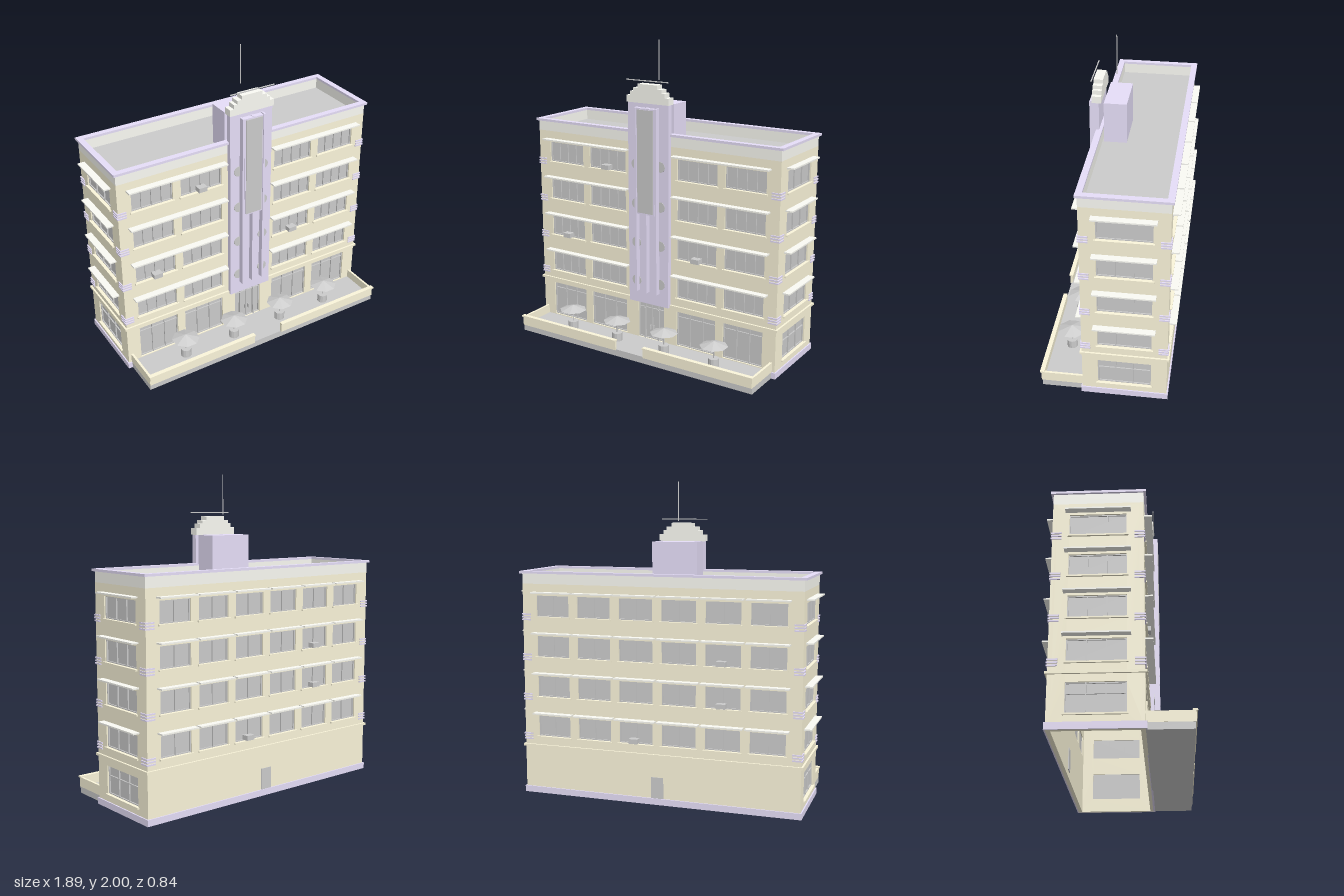
import * as THREE from 'three';

const mat = (color, side = THREE.FrontSide) => new THREE.MeshStandardMaterial({ color, side, flatShading: true });
const CREAM = mat(0xfbf5da), LILAC = mat(0xe6def8), PALE = mat(0xfbfbf4);
const GREY = mat(0xcccccc), GLASS = mat(0xcccccc, THREE.DoubleSide);

const FLOORS = [0.378, 0.637, 0.895, 1.153]; // window bottoms of the upper floors
const WIN_H = 0.133, WALL_T = 0.025, WALL_TOP = 1.36;
const X = 0.9, Z0 = -0.375, Z1 = 0.145, ZC = (Z0 + Z1) / 2, DEPTH = Z1 - Z0;

function add(parent, name, geometry, material, x = 0, y = 0, z = 0) {
  const m = new THREE.Mesh(geometry, material);
  m.name = name;
  m.position.set(x, y, z);
  parent.add(m);
  return m;
}

// Box given by its extents
function box(parent, name, material, x0, x1, y0, y1, z0, z1) {
  return add(parent, name, new THREE.BoxGeometry(x1 - x0, y1 - y0, z1 - z0), material,
    (x0 + x1) / 2, (y0 + y1) / 2, (z0 + z1) / 2);
}

function rect(Type, x0, x1, y0, y1) {
  const p = new Type();
  p.moveTo(x0, y0);
  p.lineTo(x1, y0);
  p.lineTo(x1, y1);
  p.lineTo(x0, y1);
  p.closePath();
  return p;
}

// Recessed glass with thin bars; cols = number of panes, transom = height of cross bar
function glazing(parent, o) {
  const { x0, x1, y0, y1, cols = 2, transom } = o;
  add(parent, 'glass', new THREE.PlaneGeometry(x1 - x0, y1 - y0), GLASS, (x0 + x1) / 2, (y0 + y1) / 2, -0.018);
  const t = 0.003;
  for (let i = 0; i <= cols; i++) {
    const x = x0 + t + (x1 - x0 - 2 * t) * i / cols;
    box(parent, 'mullion', GREY, x - t, x + t, y0, y1, -0.018, -0.009);
  }
  const bars = [y0 + t, y1 - t];
  if (transom) bars.push(transom);
  for (const y of bars) box(parent, 'windowRail', GREY, x0, x1, y - t, y + t, -0.018, -0.01);
}

// Wall in its own frame (outer face at z = 0) with openings, sills and glazing
function facade(parent, name, width, openings) {
  const g = new THREE.Group();
  g.name = name;
  parent.add(g);
  const shape = rect(THREE.Shape, -width / 2, width / 2, 0, WALL_TOP);
  for (const o of openings) {
    shape.holes.push(rect(THREE.Path, o.x0, o.x1, o.y0, o.y1));
    glazing(g, o);
    if (o.sill) box(g, 'sill', CREAM, o.x0 - 0.01, o.x1 + 0.01, o.y0 - 0.01, o.y0, -0.02, 0.012);
  }
  const geo = new THREE.ExtrudeGeometry(shape, { depth: WALL_T, bevelEnabled: false });
  add(g, 'wall', geo, CREAM, 0, 0, -WALL_T);
  return g;
}

const upperWindows = (spans, extra) => FLOORS.flatMap(y =>
  spans.map(([x0, x1]) => ({ x0, x1, y0: y, y1: y + WIN_H, sill: true, ...extra })));

function canopies(g, spans) {
  for (const y of FLOORS) for (const [a, b] of spans)
    box(g, 'canopy', PALE, a, b, y + 0.148, y + 0.157, -0.005, 0.045);
}

// Triple lilac stripes at both ends of a wall
function cornerStripes(g, width) {
  for (const y of FLOORS) for (const s of [-1, 1]) for (let i = -1; i <= 1; i++)
    add(g, 'cornerStripe', new THREE.BoxGeometry(0.06, 0.009, 0.01), LILAC,
      s * (width / 2 - 0.024), y - 0.004 + i * 0.017, 0.002);
}

function airConditioner(g, x, y) {
  box(g, 'airConditioner', GREY, x - 0.029, x + 0.029, y, y + 0.03, -0.02, 0.028);
}

// Four straight pieces around the building outline
function ring(parent, name, material, out, inn, y0, y1) {
  const shape = rect(THREE.Shape, -X - out, X + out, -Z1 - out, -Z0 + out);
  shape.holes.push(rect(THREE.Path, -X + inn, X - inn, -Z1 + inn, -Z0 - inn));
  const geo = new THREE.ExtrudeGeometry(shape, { depth: y1 - y0, bevelEnabled: false });
  geo.rotateX(-Math.PI / 2);
  add(parent, name, geo, material, 0, y0, 0);
}

function buildWalls(root) {
  // Front wall with shop windows and entrance
  const bays = [[-0.81, -0.535], [-0.48, -0.195], [0.195, 0.48], [0.535, 0.81]];
  const shops = bays.map(([x0, x1]) => ({ x0, x1, y0: 0.05, y1: 0.283, cols: 3, transom: 0.245 }));
  const door = { x0: -0.1, x1: 0.1, y0: 0.045, y1: 0.298, cols: 4, transom: 0.258 };
  const front = facade(root, 'frontWall', 2 * X, [...upperWindows(bays, { cols: 4 }), ...shops, door]);
  front.position.z = Z1;
  canopies(front, [[-0.84, -0.17], [0.17, 0.84]]);
  cornerStripes(front, 2 * X);
  airConditioner(front, -0.34, 1.158);
  airConditioner(front, -0.67, 0.64);
  airConditioner(front, 0.34, 0.64);
  for (const s of [-1, 1]) {
    box(front, 'doorJamb', GREY, s * 0.052 - 0.005, s * 0.052 + 0.005, 0.045, 0.258, -0.018, -0.002);
    box(front, 'doorHandle', GREY, s * 0.012 - 0.002, s * 0.012 + 0.002, 0.11, 0.14, -0.018, 0);
  }

  // Back wall, six bays
  const cols = [-2.5, -1.5, -0.5, 0.5, 1.5, 2.5].map(i => i * 0.278);
  const back = facade(root, 'backWall', 2 * X, upperWindows(cols.map(c => [c - 0.11, c + 0.11])));
  back.position.z = Z0;
  back.rotation.y = Math.PI;
  canopies(back, cols.map(c => [c - 0.132, c + 0.132]));
  cornerStripes(back, 2 * X);
  airConditioner(back, 0.41, 0.9);
  airConditioner(back, 0.41, 0.642);
  airConditioner(back, -0.15, 0.383);
  box(back, 'backDoor', GREY, -0.04, 0.04, 0.04, 0.175, -0.03, 0.004);

  // Side walls
  for (const s of [-1, 1]) {
    const ground = { x0: -0.163, x1: 0.163, y0: 0.088, y1: 0.262, sill: true, cols: 3, transom: 0.2 };
    const side = facade(root, s > 0 ? 'leftWall' : 'rightWall', DEPTH,
      [...upperWindows([[-0.163, 0.163]], { cols: 3 }), ground]);
    side.position.set(s * X, 0, ZC);
    side.rotation.y = s * Math.PI / 2;
    canopies(side, [[-0.187, 0.187]]);
    cornerStripes(side, DEPTH);
  }
  ring(root, 'plinth', LILAC, 0.008, 0.005, 0, 0.04);
  ring(root, 'stringCourse', CREAM, 0.012, 0.005, 0.307, 0.322);
  ring(root, 'parapet', PALE, 0, WALL_T, WALL_TOP, 1.425);
  ring(root, 'coping', LILAC, 0.014, WALL_T, 1.425, 1.44);
  box(root, 'roof', GREY, -X + 0.01, X - 0.01, 1.345, 1.36, Z0 + 0.01, Z1 - 0.01);
}

function buildTower(root) {
  const g = new THREE.Group();
  g.name = 'tower';
  root.add(g);
  box(g, 'towerPanel', LILAC, -0.15, 0.15, 0.305, 1.62, 0.14, 0.175);
  for (const x of [-0.075, 0, 0.075]) box(g, 'fin', LILAC, x - 0.007, x + 0.007, 0.39, 1.595, 0.17, 0.21);
  box(g, 'signFrame', LILAC, -0.065, 0.065, 0.915, 1.592, 0.17, 0.208);
  box(g, 'signPanel', GREY, -0.058, 0.058, 0.925, 1.583, 0.18, 0.213);
  for (const s of [-1, 1]) for (const y of [0.455, 0.713, 0.971, 1.229]) {
    const disc = add(g, 'porthole', new THREE.CylinderGeometry(0.034, 0.034, 0.006, 24), GREY, s * 0.09, y, 0.175);
    disc.rotation.x = Math.PI / 2;
  }
  // Stepped crown
  let y = 1.62;
  for (const [w, top] of [[0.155, 1.663], [0.127, 1.69], [0.105, 1.712], [0.072, 1.737]]) {
    box(g, 'crownStep', PALE, -w, w, y, top, 0.125, 0.183);
    y = top;
  }
  box(g, 'roofHouse', LILAC, -0.15, 0.15, 1.36, 1.62, -0.03, 0.11);
  add(g, 'mast', new THREE.CylinderGeometry(0.003, 0.003, 0.25, 8), GREY, 0, 1.875, 0.05);
  box(g, 'crownBar', GREY, -0.155, 0.155, 1.757, 1.763, 0.181, 0.187);
}

function buildTerrace(root) {
  const g = new THREE.Group();
  g.name = 'terrace';
  root.add(g);
  box(g, 'deck', GREY, -0.88, 0.88, 0, 0.045, Z1, 0.402);
  for (const s of [-1, 1]) {
    const span = (a, b) => s > 0 ? [a, b] : [-b, -a];
    box(g, 'frontParapet', CREAM, ...span(0.105, 0.88), 0.04, 0.1, 0.392, 0.408);
    box(g, 'frontParapetCap', CREAM, ...span(0.105, 0.886), 0.1, 0.11, 0.388, 0.416);
    box(g, 'sideParapet', CREAM, ...span(0.866, 0.881), 0.04, 0.102, Z1, 0.405);
  }
  // Tables with octagonal parasols
  for (const x of [-0.55, -0.185, 0.18, 0.545]) {
    add(g, 'table', new THREE.CylinderGeometry(0.034, 0.034, 0.055, 12), GREY, x, 0.072, 0.273);
    add(g, 'parasolPole', new THREE.CylinderGeometry(0.004, 0.004, 0.16, 8), GREY, x, 0.125, 0.273);
    const canopy = add(g, 'parasol', new THREE.ConeGeometry(0.09, 0.032, 8, 1, true), GLASS, x, 0.196, 0.273);
    canopy.rotation.y = Math.PI / 8;
  }
}

export function createModel() {
  const root = new THREE.Group();
  root.name = 'hotelBuilding';
  buildWalls(root);
  buildTower(root);
  buildTerrace(root);
  return root;
}
